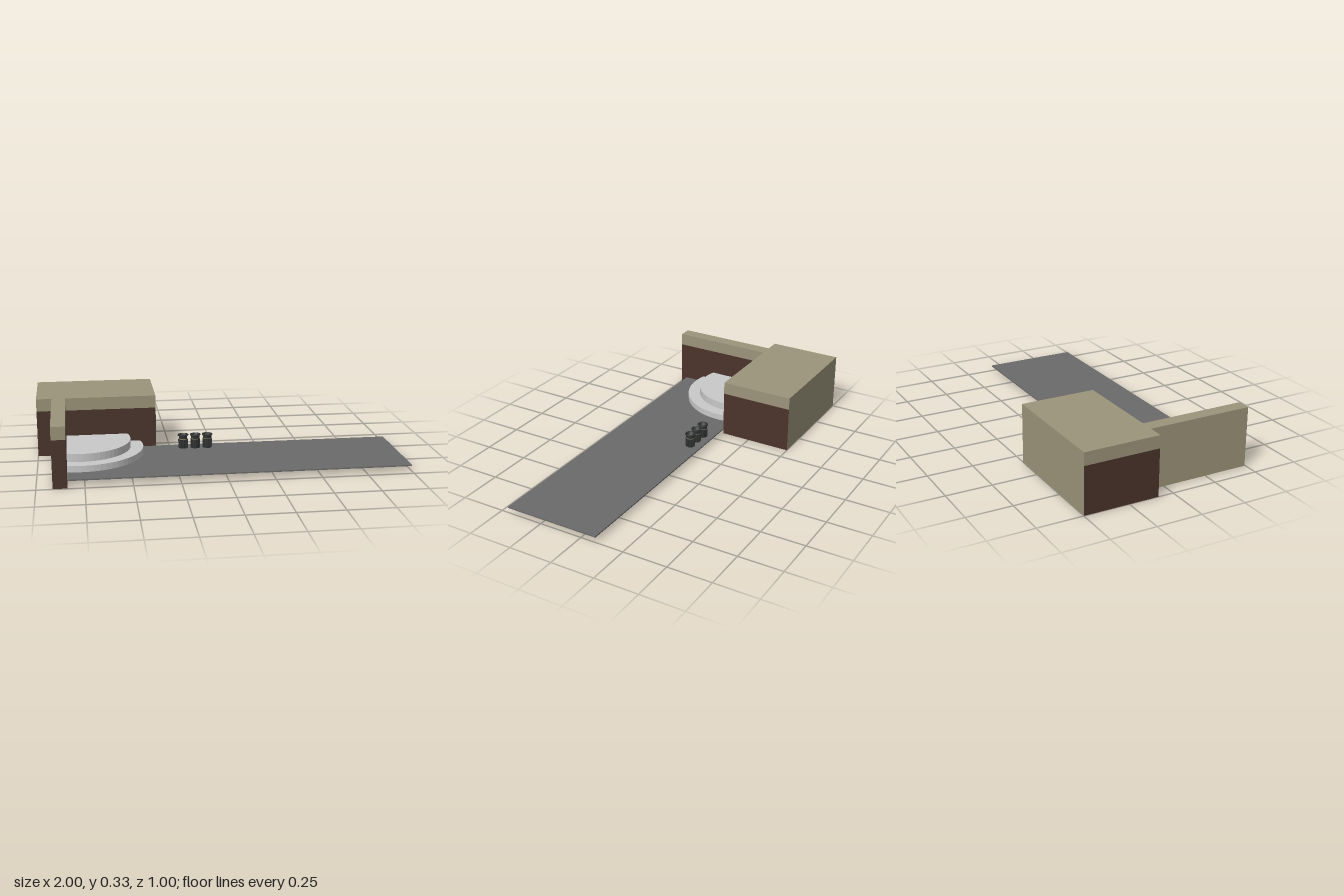
import * as THREE from 'three';

const mat = (name, color, side = THREE.FrontSide) => {
  const m = new THREE.MeshStandardMaterial({ color, side });
  m.name = name;
  return m;
};

export function createModel() {
  const model = new THREE.Group();
  model.name = 'plaza';
  const tan = mat('tan stone', 0x9c947a);
  const brown = mat('brown brick', 0x4b342c);
  const asphalt = mat('grey paving', 0x6a6a6a);
  const concrete = mat('light concrete', 0xc9c9c9);
  const iron = mat('dark iron', 0x343636, THREE.DoubleSide);
  const brass = mat('pale trim', 0x8a8468);

  const add = (parent, name, geometry, material, x = 0, y = 0, z = 0) => {
    const mesh = new THREE.Mesh(geometry, material);
    mesh.name = name;
    mesh.position.set(x, y, z);
    parent.add(mesh);
    return mesh;
  };
  const box = (parent, name, material, [x0, x1], [y0, y1], [z0, z1]) =>
    add(parent, name, new THREE.BoxGeometry(x1 - x0, y1 - y0, z1 - z0), material,
      (x0 + x1) / 2, (y0 + y1) / 2, (z0 + z1) / 2);

  // Brick walls with a tan top band; one outer face of each is all tan
  // (box faces run +x, -x, +y, -y, +z, -z)
  const brickExcept = (face) => Array.from({ length: 6 }, (_, i) => (i === face ? tan : brown));
  const bandY = 0.26, topY = 0.33, wallZ = -0.085;
  const bandedWall = (name, xs, zs, tanFace) => {
    const g = new THREE.Group();
    g.name = name;
    box(g, name + 'Brick', brickExcept(tanFace), xs, [0, bandY], zs);
    box(g, name + 'Band', tan, xs, [bandY, topY], zs);
    model.add(g);
  };
  bandedWall('building', [-1, -0.335], [-0.5, wallZ], 5);
  bandedWall('sideWall', [-0.915, -0.84], [wallZ, 0.495], 1);

  // Paved ground slab
  box(model, 'pavement', asphalt, [-0.84, 1], [0.028, 0.035], [-0.088, 0.46]);

  // Round corner steps, cut off by the two walls
  const cx = -0.76, cutX = -0.84;
  const step = (name, radius, y0, y1) => {
    const a0 = Math.asin(wallZ / radius);
    const a1 = Math.acos((cutX - cx) / radius);
    const shape = new THREE.Shape();
    shape.moveTo(cutX, wallZ);
    const n = 20;
    for (let i = 0; i <= n; i++) {
      const a = a0 + (a1 - a0) * i / n;
      shape.lineTo(cx + radius * Math.cos(a), radius * Math.sin(a));
    }
    shape.closePath();
    const geometry = new THREE.ExtrudeGeometry(shape, { depth: y1 - y0, bevelEnabled: false });
    geometry.rotateX(Math.PI / 2);
    add(model, name, geometry, concrete, 0, y1, 0);
  };
  step('lowerStep', 0.345, 0.022, 0.07);
  step('upperStep', 0.275, 0.07, 0.114);

  // Slatted litter bins
  const bin = (x, z) => {
    const g = new THREE.Group();
    g.name = 'litterBin';
    g.position.set(x, 0.035, z);
    const profile = [[0, 0], [0.024, 0], [0.024, 0.068], [0.03, 0.073], [0.03, 0.078],
      [0.022, 0.079], [0.021, 0.06], [0, 0.06]].map(([r, y]) => new THREE.Vector2(r, y));
    add(g, 'binBody', new THREE.LatheGeometry(profile, 16), iron);
    add(g, 'binTrim', new THREE.CylinderGeometry(0.0255, 0.0255, 0.004, 16), brass, 0, 0.054, 0)
      .geometry = new THREE.CylinderGeometry(0.0255, 0.0255, 0.004, 16, 1, true);
    for (let i = 0; i < 12; i++) {
      const a = i / 12 * Math.PI * 2;
      const slat = add(g, 'binSlat', new THREE.BoxGeometry(0.006, 0.05, 0.004), iron,
        0.025 * Math.sin(a), 0.026, 0.025 * Math.cos(a));
      slat.rotation.y = a;
    }
    model.add(g);
  };
  bin(-0.187, -0.028);
  bin(-0.118, -0.025);
  bin(-0.05, -0.024);

  return model;
}
